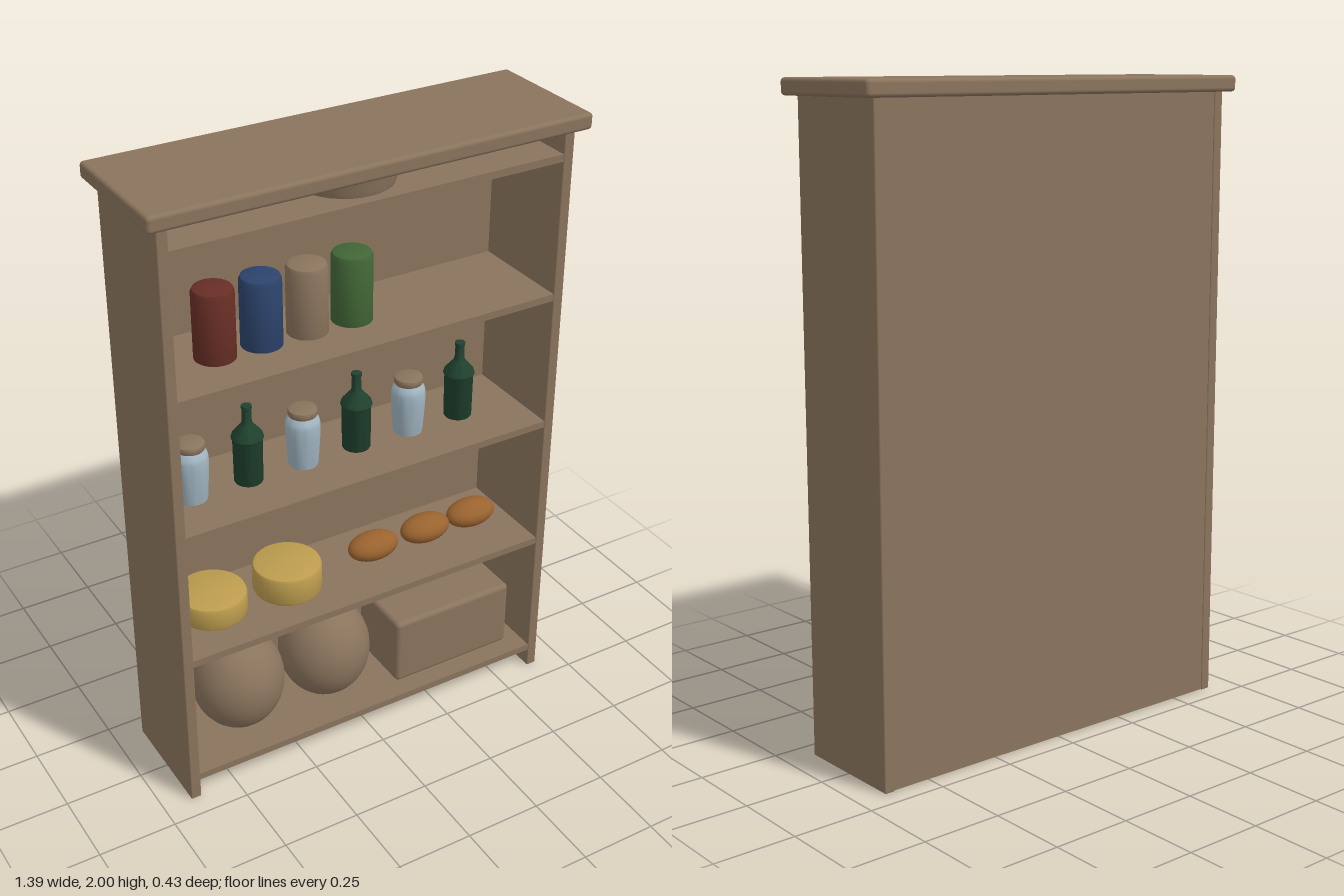
import * as THREE from 'three';
import { toCreasedNormals } from 'three/addons/utils/BufferGeometryUtils.js';
import { RoundedBoxGeometry } from 'three/addons/geometries/RoundedBoxGeometry.js';

const material = (name, color) => {
  const m = new THREE.MeshStandardMaterial({ color });
  m.name = name;
  return m;
};

// Lathe from [radius, height] pairs, with sharp edges kept
const turned = (profile) => toCreasedNormals(
  new THREE.LatheGeometry(profile.map(([r, y]) => new THREE.Vector2(r, y)), 32), 0.7);

// Closed cylinder standing on y = 0 with rounded rims
const drum = (r, h, b) => turned([
  [0, 0], [r - b, 0], [r - b * 0.3, b * 0.3], [r, b],
  [r, h - b], [r - b * 0.3, h - b * 0.3], [r - b, h], [0, h],
]);

export function createModel() {
  const wood = material('wood', 0x8a745d);
  const red = material('red tin', 0x672e25);
  const blue = material('blue tin', 0x2c436b);
  const green = material('green tin', 0x416636);
  const glass = material('pale glass', 0xa0b4c0);
  const bottleGlass = material('dark green glass', 0x20422f);
  const cheese = material('cheese', 0xbc9c4e);
  const crust = material('bread crust', 0x9a632f);

  const model = new THREE.Group();
  const add = (name, geometry, mat, x, y, z = 0) => {
    const mesh = new THREE.Mesh(geometry, mat);
    mesh.name = name;
    mesh.position.set(x, y, z);
    model.add(mesh);
    return mesh;
  };

  // Carcass
  add('topBoard', new RoundedBoxGeometry(1.39, 0.05, 0.425, 3, 0.012), wood, 0, 1.975);
  for (const s of [-1, 1]) {
    add(s > 0 ? 'leftSide' : 'rightSide',
      new RoundedBoxGeometry(0.034, 1.955, 0.368, 2, 0.004), wood, s * 0.641, 0.9775, -0.004);
  }
  add('backPanel', new THREE.BoxGeometry(1.25, 1.95, 0.02), wood, 0, 0.977, -0.175);
  for (const y of [0.078, 0.525, 0.972, 1.418, 1.866]) {
    add('shelf', new THREE.BoxGeometry(1.25, 0.023, 0.356), wood, 0, y, 0);
  }

  // Bowl on the top shelf
  add('bowl', turned([
    [0, 0], [0.138, 0], [0.142, 0.008], [0.15, 0.05], [0.16, 0.105],
    [0.15, 0.105], [0.135, 0.03], [0, 0.03],
  ]), wood, 0, 1.848);

  // Tins and small cups
  [red, blue, wood, green].forEach((mat, i) =>
    add('tin', drum(0.062, 0.28, 0.016), mat, -0.421 + i * 0.149, 1.37));
  [[0.275, 0.028, 0.024], [0.36, 0.033, 0.036], [0.445, 0.039, 0.042], [0.53, 0.044, 0.046]]
    .forEach(([x, r, h]) => add('smallCup', drum(r, h, 0.005), wood, x, 1.363));

  // Jars alternating with bottles
  const jar = turned([
    [0, 0], [0.045, 0], [0.047, 0.01], [0.053, 0.11], [0.053, 0.14],
    [0.05, 0.155], [0.038, 0.168], [0, 0.168],
  ]);
  const lid = drum(0.045, 0.024, 0.006);
  const bottle = turned([
    [0, 0], [0.042, 0], [0.044, 0.004], [0.045, 0.145], [0.049, 0.152], [0.046, 0.162],
    [0.019, 0.195], [0.015, 0.205], [0.014, 0.245], [0.016, 0.247], [0.016, 0.258], [0, 0.258],
  ]);
  for (let i = 0; i < 3; i++) {
    const x = -0.515 + i * 0.372;
    add('jar', jar, glass, x, 0.983);
    add('jarLid', lid, wood, x, 1.152);
    add('bottle', bottle, bottleGlass, x + 0.186, 0.983);
  }

  // Cheeses and loaves
  add('cheeseWheel', drum(0.11, 0.08, 0.012), cheese, -0.47, 0.55);
  add('cheeseWheel', drum(0.11, 0.1, 0.014), cheese, -0.207, 0.54);
  const ball = new THREE.SphereGeometry(1, 32, 20);
  for (const x of [0.108, 0.305, 0.483]) {
    add('loaf', ball, crust, x, 0.584).scale.set(0.088, 0.045, 0.056);
  }

  // Sacks and chest on the bottom shelf
  for (const x of [-0.394, -0.077]) {
    add('sack', ball, wood, x, 0.256).scale.set(0.15, 0.172, 0.15);
  }
  add('chest', new RoundedBoxGeometry(0.44, 0.238, 0.24, 3, 0.016), wood, 0.351, 0.209);

  return model;
}
